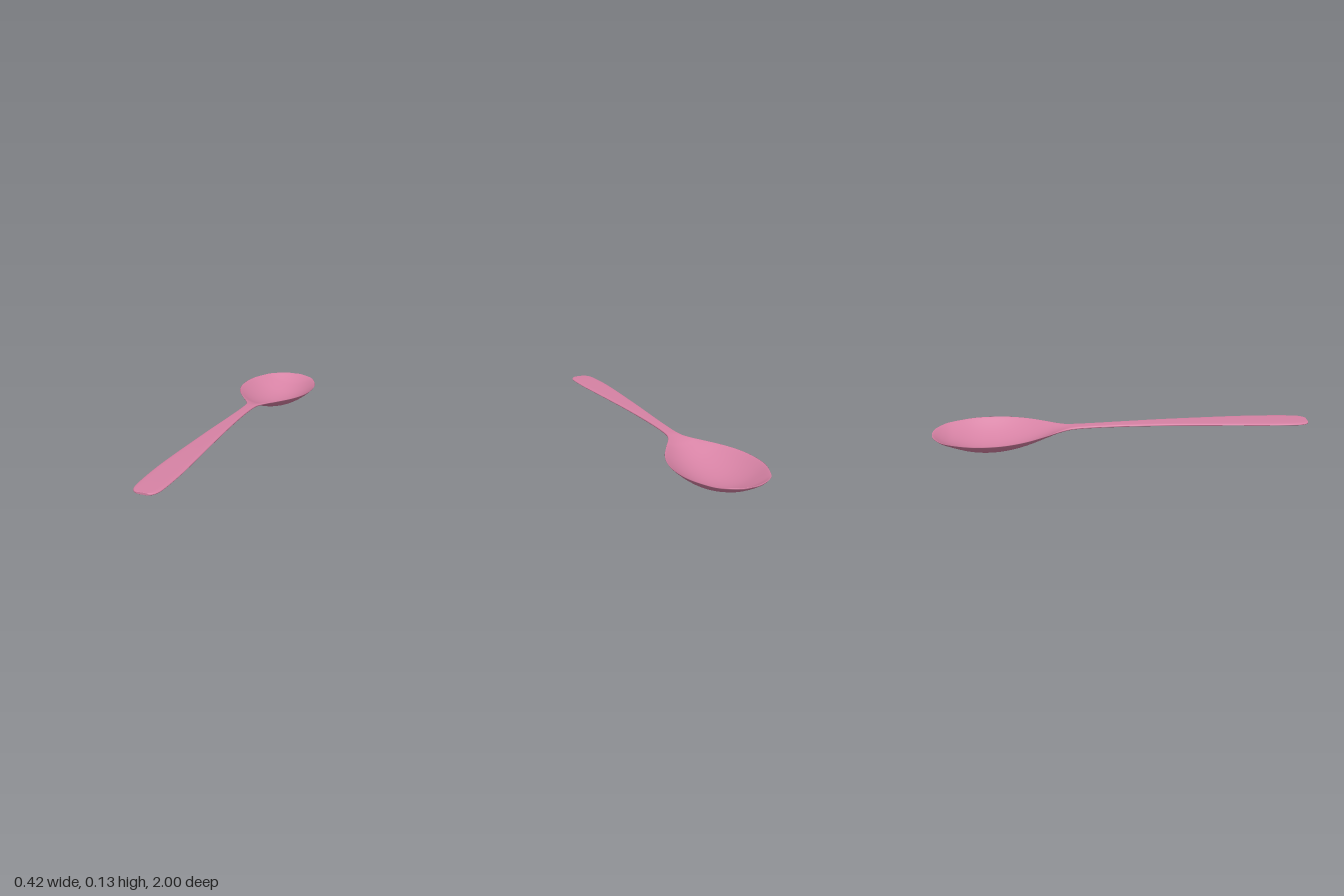
import * as THREE from 'three';

// Stations from bowl tip to handle end:
// [z, half width, height of the rim midline, bowl depth, thickness]
const STATIONS = [
  [-1, 0.001, 0.098, 0, 0.002],
  [-0.99, 0.06, 0.098, 0.006, 0.009],
  [-0.95, 0.126, 0.098, 0.029, 0.01],
  [-0.9, 0.163, 0.098, 0.052, 0.01],
  [-0.8, 0.202, 0.099, 0.084, 0.01],
  [-0.7, 0.212, 0.099, 0.094, 0.01],
  [-0.6, 0.201, 0.1, 0.086, 0.01],
  [-0.5, 0.165, 0.102, 0.064, 0.01],
  [-0.4, 0.105, 0.105, 0.031, 0.011],
  [-0.35, 0.071, 0.107, 0.014, 0.012],
  [-0.3, 0.043, 0.109, 0.004, 0.013],
  [-0.25, 0.031, 0.112, 0, 0.013],
  [-0.15, 0.028, 0.115, 0, 0.013],
  [0, 0.032, 0.118, 0, 0.013],
  [0.2, 0.042, 0.12, 0, 0.013],
  [0.4, 0.053, 0.119, 0, 0.013],
  [0.6, 0.064, 0.117, 0, 0.013],
  [0.75, 0.07, 0.114, 0, 0.013],
  [0.88, 0.069, 0.111, 0, 0.013],
  [0.95, 0.064, 0.109, 0, 0.013],
  [0.985, 0.051, 0.108, 0, 0.012],
  [1, 0.03, 0.108, 0, 0.01],
  [1, 0.001, 0.108, 0, 0.002],
];

const ROWS = 176;
const SIDES = 48;

function spline(pick) {
  return new THREE.CatmullRomCurve3(STATIONS.map(pick), false, 'catmullrom', 0.5);
}

// Lofts a thin rounded section, dished by the bowl depth, along z
function spoonGeometry() {
  const outline = spline(([z, w, y]) => new THREE.Vector3(z, w, y));
  const section = spline(([, , , d, t]) => new THREE.Vector3(d, t, 0));
  const positions = [];
  const indices = [];

  for (let i = 0; i <= ROWS; i++) {
    const { x: z, y: w, z: mid } = outline.getPoint(i / ROWS);
    const { x: depth, y: thick } = section.getPoint(i / ROWS);
    for (let j = 0; j < SIDES; j++) {
      const a = (j / SIDES) * Math.PI * 2;
      const u = Math.cos(a);
      const half = (thick / 2) * Math.sign(Math.sin(a)) * Math.sqrt(Math.max(0, 1 - u ** 8));
      const y = mid - Math.max(0, depth) * (1 - u * u) + half;
      positions.push(u * w, y, THREE.MathUtils.clamp(z, -1, 1));
      if (i < ROWS) {
        const k = (j + 1) % SIDES;
        const p = i * SIDES;
        const q = p + SIDES;
        indices.push(p + j, p + k, q + j, p + k, q + k, q + j);
      }
    }
  }

  const geometry = new THREE.BufferGeometry();
  geometry.setAttribute('position', new THREE.Float32BufferAttribute(positions, 3));
  geometry.setIndex(indices);
  geometry.computeVertexNormals();
  return geometry;
}

export function createModel() {
  const group = new THREE.Group();
  group.name = 'spoon';

  // Bowl, neck and handle are one continuous piece
  const material = new THREE.MeshStandardMaterial({ color: 0xd682a4, side: THREE.DoubleSide });
  const body = new THREE.Mesh(spoonGeometry(), material);
  body.name = 'bowlAndHandle';
  group.add(body);

  return group;
}
